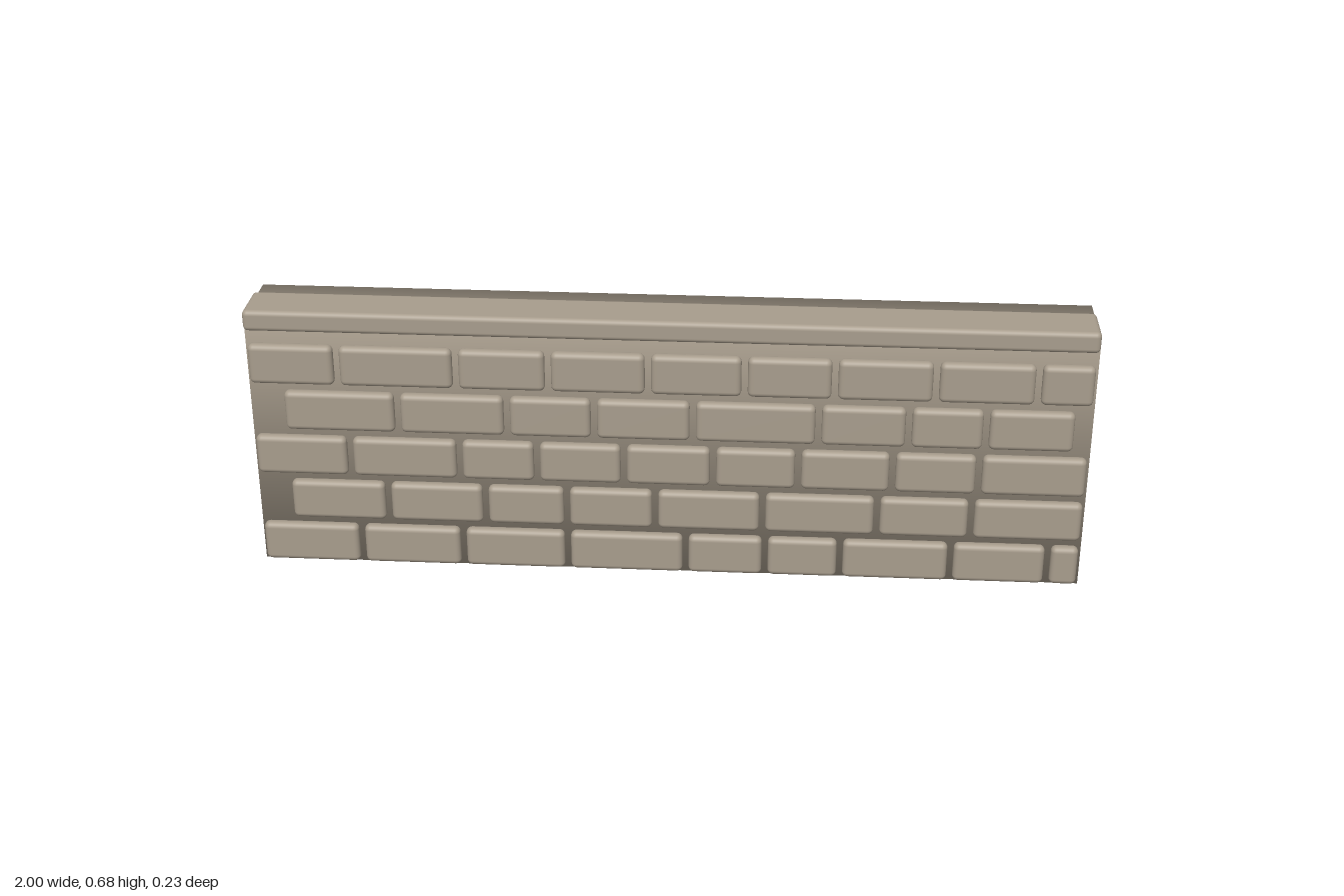
import * as THREE from 'three';
import { RoundedBoxGeometry } from 'three/addons/geometries/RoundedBoxGeometry.js';

export function createModel() {
  const group = new THREE.Group();
  const stone = new THREE.MeshStandardMaterial({ color: 0xa89d8d });
  stone.name = 'warm grey stone';

  const add = (name, geometry, x, y, z, parent = group) => {
    const mesh = new THREE.Mesh(geometry, stone);
    mesh.name = name;
    mesh.position.set(x, y, z);
    parent.add(mesh);
    return mesh;
  };

  // Wall core: a plain slab whose corner normals are shared between faces
  const core = new THREE.BoxGeometry(2, 0.65, 0.2);
  const p = core.attributes.position;
  const n = core.attributes.normal;
  const s = 1 / Math.sqrt(3);
  for (let i = 0; i < p.count; i++) {
    n.setXYZ(i, Math.sign(p.getX(i)) * s, Math.sign(p.getY(i)) * s, Math.sign(p.getZ(i)) * s);
  }
  add('wallCore', core, 0, 0.325, -0.013);

  // Coping rail along the top front edge
  add('coping', new RoundedBoxGeometry(1.996, 0.052, 0.124, 3, 0.012), 0, 0.651, 0.05);

  // Brick courses from the bottom up, each given by its joint positions in x
  const courses = [
    [-1, -0.751, -0.5, -0.243, 0.045, 0.238, 0.42, 0.687, 0.92, 1],
    [-0.922, -0.679, -0.441, -0.243, -0.029, 0.23, 0.505, 0.73, 1],
    [-1, -0.765, -0.5, -0.313, -0.104, 0.11, 0.313, 0.537, 0.741, 1],
    [-0.922, -0.644, -0.382, -0.174, 0.061, 0.358, 0.57, 0.751, 0.963],
    [-1, -0.783, -0.5, -0.281, -0.045, 0.182, 0.393, 0.628, 0.864, 1],
  ];
  const gap = 0.015;
  courses.forEach((joints, row) => {
    const course = new THREE.Group();
    course.name = `brickCourse${row + 1}`;
    group.add(course);
    for (let i = 0; i < joints.length - 1; i++) {
      const width = joints[i + 1] - joints[i] - gap;
      const brick = new RoundedBoxGeometry(width, 0.101, 0.03, 3, 0.0135);
      add('brick', brick, (joints[i] + joints[i + 1]) / 2, 0.06 + row * 0.12, 0.1, course);
    }
  });

  return group;
}
